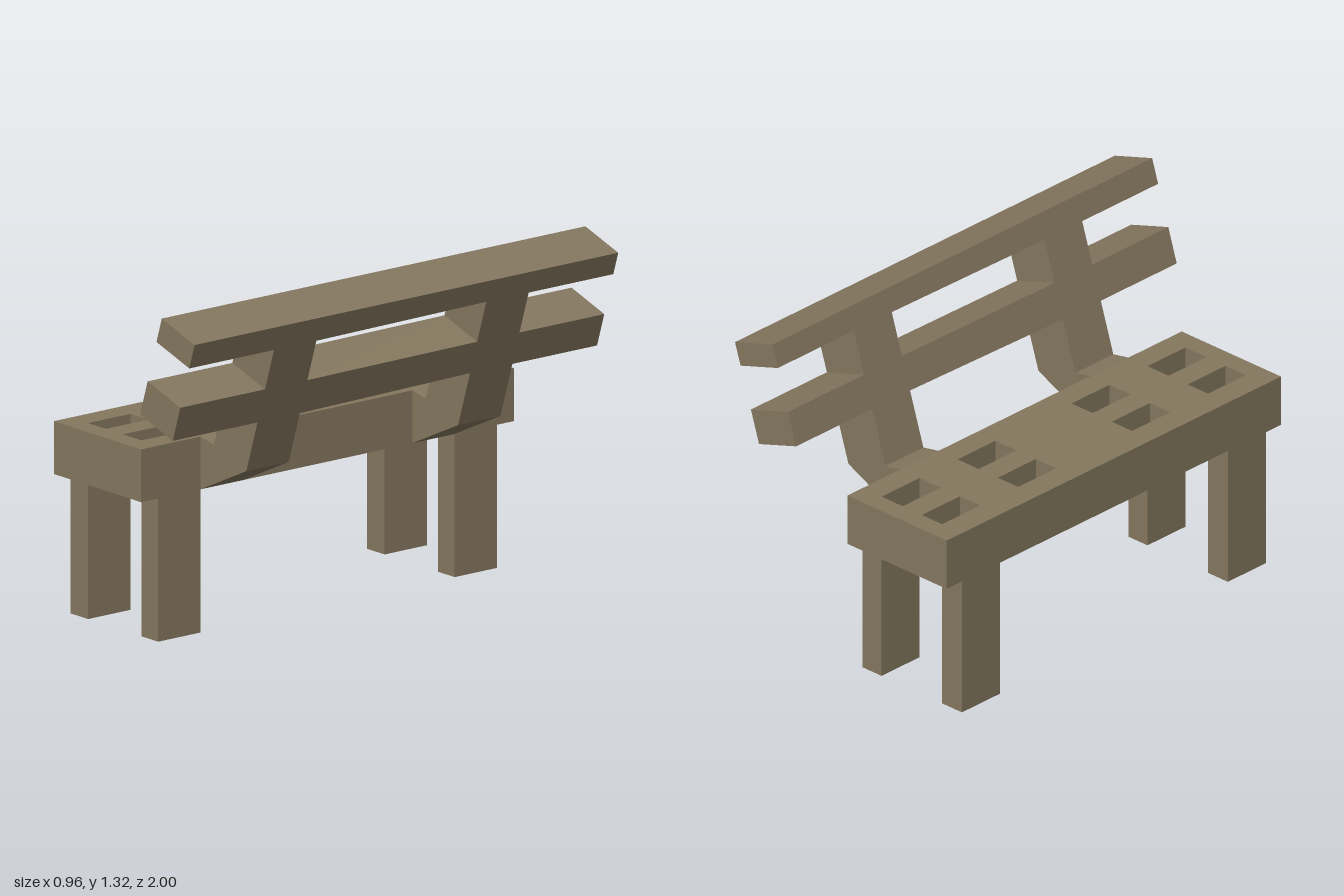
import * as THREE from 'three';

const wood = new THREE.MeshStandardMaterial({ color: 0x84775f });
wood.name = 'weathered wood';

// Backrest slope: front and rear edges, from the bend up to the top
const FRONT = [[0.1, 0.727], [0.288, 1.315]];
const REAR = [[0.287, 0.667], [0.477, 1.255]];
const along = ([a, b], t) => [a[0] + (b[0] - a[0]) * t, a[1] + (b[1] - a[1]) * t];

function addMesh(group, name, geometry) {
  const mesh = new THREE.Mesh(geometry, wood);
  mesh.name = name;
  group.add(mesh);
  return mesh;
}

function rectangle(Type, x0, x1, y0, y1) {
  const s = new Type();
  s.moveTo(x0, y0).lineTo(x1, y0).lineTo(x1, y1).lineTo(x0, y1).closePath();
  return s;
}

// Joins four-cornered sections, listed from +z to -z, into a closed beam
function beam(sections) {
  const p = [];
  const quad = (a, b, c, d) => p.push(...a, ...b, ...c, ...a, ...c, ...d);
  quad(...sections[0]);
  for (let s = 0; s < sections.length - 1; s++) {
    const near = sections[s], far = sections[s + 1];
    for (let i = 0; i < 4; i++) {
      const j = (i + 1) % 4;
      quad(near[i], far[i], far[j], near[j]);
    }
  }
  quad(...[...sections[sections.length - 1]].reverse());
  const g = new THREE.BufferGeometry();
  g.setAttribute('position', new THREE.Float32BufferAttribute(p, 3));
  g.computeVertexNormals();
  return g;
}

// Rail cross-section between two heights of the backrest slope
const railSection = (z, low, high) =>
  [along(FRONT, low), along(REAR, low), along(REAR, high), along(FRONT, high)].map(([x, y]) => [x, y, z]);

export function createModel() {
  const group = new THREE.Group();
  group.name = 'bench';

  // Seat slab with two rows of rectangular openings
  const slab = rectangle(THREE.Shape, -0.48, 0.023, -0.88, 0.88);
  for (const [x0, x1] of [[-0.38, -0.277], [-0.18, -0.073]])
    for (const z of [-0.8, -0.4, 0.2, 0.6])
      slab.holes.push(rectangle(THREE.Path, x0, x1, z, z + 0.2));
  const seat = new THREE.ExtrudeGeometry(slab, { depth: 0.2, bevelEnabled: false });
  seat.rotateX(Math.PI / 2);
  addMesh(group, 'seat', seat).position.y = 0.742;

  for (const side of [-1, 1]) {
    // Front and rear legs
    for (const [name, x0, x1] of [['outerLeg', -0.48, -0.38], ['backrestSideLeg', -0.073, 0.023]])
      addMesh(group, name, new THREE.BoxGeometry(x1 - x0, 0.542, 0.2))
        .position.set((x0 + x1) / 2, 0.271, side * 0.7);

    // Bent support rising from the seat edge
    const bend = [[0.023, 0.542], REAR[0], REAR[1], FRONT[1], FRONT[0], [0.023, 0.742]];
    const profile = new THREE.Shape(bend.map(([x, y]) => new THREE.Vector2(x, y)));
    const support = new THREE.ExtrudeGeometry(profile, { depth: 0.2, bevelEnabled: false });
    addMesh(group, 'backrestSupport', support).position.z = side * 0.5 - 0.1;
  }

  // Long rails, slightly uneven between the two supports
  const rails = [
    ['lowerRail', [0.337, 0.566], [0.359, 0.576]],
    ['upperRail', [0.838, 1], [0.852, 1]],
  ];
  for (const [name, a, b] of rails)
    addMesh(group, name, beam([
      railSection(1, ...a), railSection(0.4, ...a), railSection(-0.4, ...b), railSection(-1, ...b),
    ]));

  return group;
}
